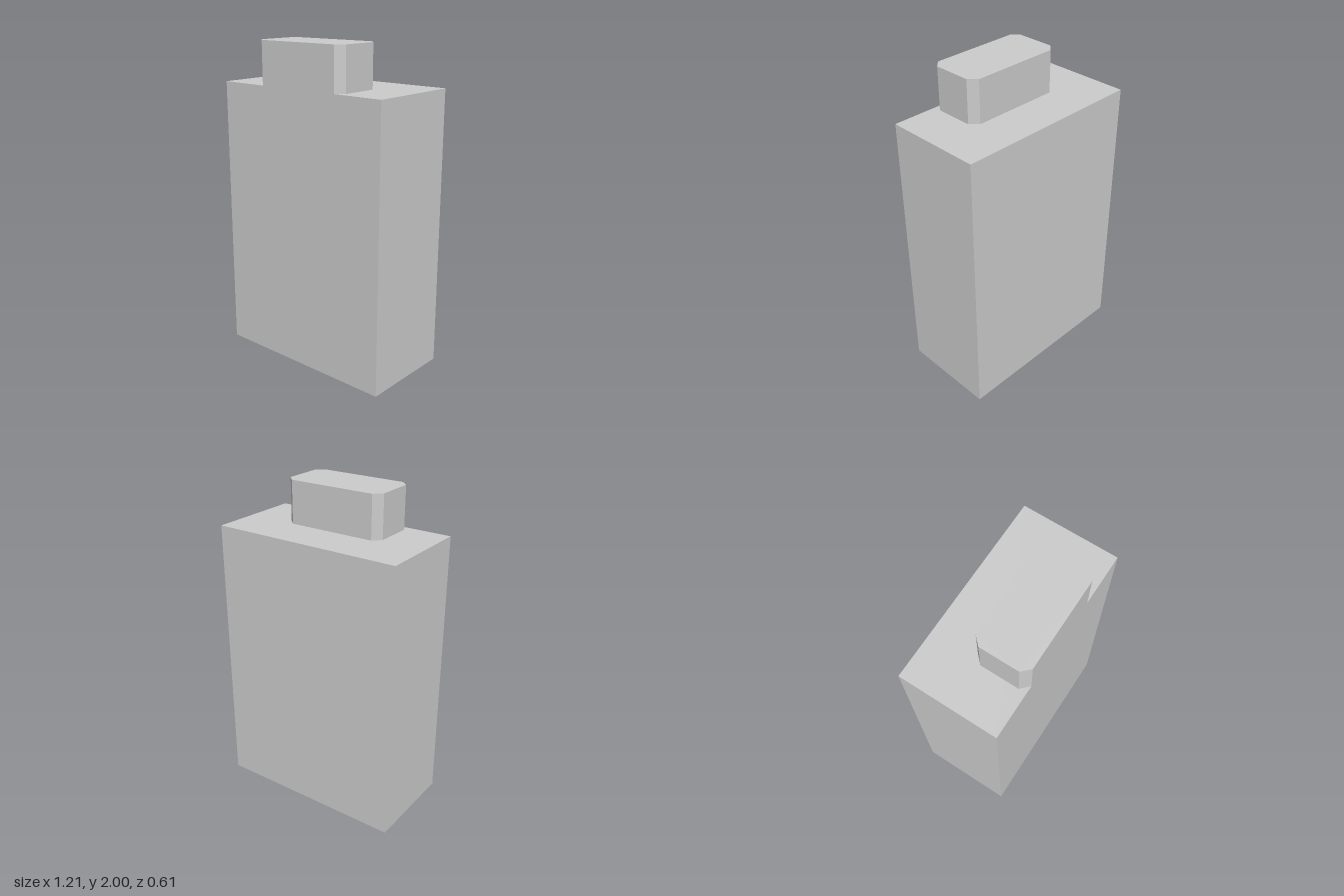
import * as THREE from 'three';

const WIDTH = 1.21, DEPTH = 0.606, BODY_TOP = 1.735, TOP = 2;

// Rectangle with all four corners cut at 45 degrees
function chamferedRect(w, d, c) {
  const x = w / 2, y = d / 2;
  return new THREE.Shape([
    [x - c, -y], [x, -y + c], [x, y - c], [x - c, y],
    [-x + c, y], [-x, y - c], [-x, -y + c], [-x + c, -y],
  ].map(([a, b]) => new THREE.Vector2(a, b)));
}

export function createModel() {
  const group = new THREE.Group();
  const material = new THREE.MeshStandardMaterial({ color: 0xcccccc, flatShading: true });

  // Main block
  const body = new THREE.Mesh(new THREE.BoxGeometry(WIDTH, BODY_TOP, DEPTH), material);
  body.name = 'body';
  body.position.y = BODY_TOP / 2;
  group.add(body);

  // Chamfered cap, flush with the front of the block
  const capDepth = 0.33;
  const capGeometry = new THREE.ExtrudeGeometry(chamferedRect(0.652, capDepth, 0.047), {
    depth: TOP - BODY_TOP, bevelEnabled: false,
  }).rotateX(-Math.PI / 2);
  const cap = new THREE.Mesh(capGeometry, material);
  cap.name = 'cap';
  cap.position.set(0, BODY_TOP, (DEPTH - capDepth) / 2);
  group.add(cap);

  return group;
}
